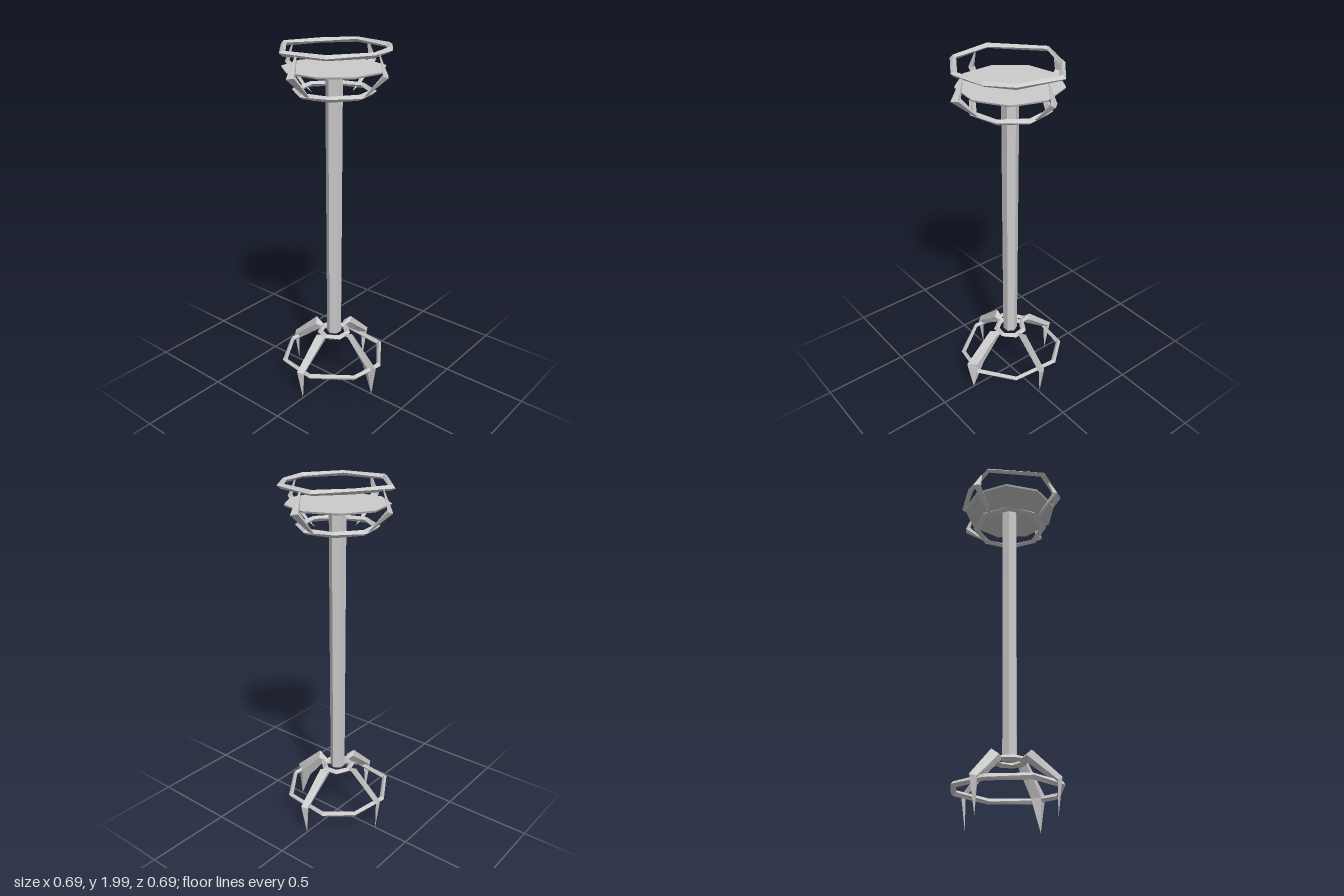
import * as THREE from 'three';

const material = new THREE.MeshStandardMaterial({ color: 0xcccccc, flatShading: true, side: THREE.DoubleSide });

// Skin a row of equal-sized cross-sections; a closed row joins its last section to its first
function loft(sections, closed) {
  const positions = [], index = [];
  const n = sections[0].length, rows = sections.length;
  sections.forEach(s => s.forEach(p => positions.push(...p)));
  for (let i = 0; i < (closed ? rows : rows - 1); i++) {
    const next = (i + 1) % rows;
    for (let j = 0; j < n; j++) {
      const k = (j + 1) % n;
      const a = i * n + j, b = i * n + k, c = next * n + k, d = next * n + j;
      index.push(a, b, c, a, c, d);
    }
  }
  const g = new THREE.BufferGeometry();
  g.setAttribute('position', new THREE.Float32BufferAttribute(positions, 3));
  g.setIndex(index);
  g.computeVertexNormals();
  return g;
}

// Faceted band with a diamond section that follows an uneven outline of [x, z] corners
function ring(outline, y, halfHeight, inner) {
  const mid = (1 + inner) / 2;
  return loft(outline.map(([x, z], i) => {
    const tilt = (i % 2 ? 1 : -1) * 0.003;
    return [
      [x, y + tilt, z],
      [x * mid, y + halfHeight, z * mid],
      [x * inner, y - tilt, z * inner],
      [x * mid, y - halfHeight, z * mid],
    ];
  }), true);
}

// Pointed blade in the x-y plane; each station is [outerX, outerY, innerX, innerY, halfWidth]
function blade(stations) {
  return loft(stations.map(([ox, oy, ix, iy, w]) => [
    [ox, oy, w * 0.5],
    [(ox + ix) / 2, (oy + iy) / 2, w],
    [ix, iy, -w * 0.5],
    [(ox + ix) / 2, (oy + iy) / 2, -w],
  ]), false);
}

// Regular outline used by the smaller rings
function polygon(sides, radius, turn) {
  return Array.from({ length: sides }, (_, i) => {
    const a = turn + i / sides * Math.PI * 2;
    return [radius * Math.cos(a), radius * Math.sin(a)];
  });
}

export function createModel() {
  const model = new THREE.Group();
  const add = (name, geometry, y = 0, turn = 0) => {
    const mesh = new THREE.Mesh(geometry, material);
    mesh.name = name;
    mesh.position.y = y;
    mesh.rotation.y = turn;
    model.add(mesh);
  };

  // Central pole
  add('pole', new THREE.CylinderGeometry(0.046, 0.042, 1.55, 6), 1.105, Math.PI / 2);

  // Flat tray on top of the pole
  add('tray', new THREE.CylinderGeometry(0.275, 0.27, 0.01, 9), 1.88, 0.2);

  // Rings of the head
  const rim = [[-0.06, -0.31], [0.15, -0.22], [0.308, -0.083], [0.262, 0.172],
    [0.135, 0.266], [-0.06, 0.305], [-0.265, 0.17], [-0.31, -0.085]];
  add('topRing', ring(rim, 1.982, 0.014, 0.89), 0);
  add('lowerHeadRing', ring(polygon(8, 0.22, 0.2), 1.765, 0.015, 0.83));

  // Rings of the base
  const brace = [[-0.06, -0.3], [0.17, -0.265], [0.287, -0.12], [0.26, 0.16],
    [0.06, 0.303], [-0.14, 0.27], [-0.295, 0.06], [-0.265, -0.175]];
  add('baseRing', ring(brace, 0.18, 0.017, 0.91));
  add('hubRing', ring(polygon(7, 0.1, 0.3), 0.328, 0.016, 0.65));

  // Four brackets and four legs around the pole
  for (let i = 0; i < 4; i++) {
    const turn = i * Math.PI / 2;
    add('bracket', blade([
      [0.285, 1.985, 0.28, 1.965, 0.003],
      [0.347, 1.875, 0.30, 1.885, 0.02],
      [0.22, 1.772, 0.20, 1.77, 0.012],
      [0.15, 1.735, 0.15, 1.735, 0],
    ]), 0, turn);
    // The front leg is deeper at the knee
    const front = i === 3;
    add('leg', blade([
      [0.07, 0.33, 0.07, 0.325, 0.006],
      [0.145, 0.365, 0.1, 0.31, 0.022],
      [0.32, 0.2, front ? 0.21 : 0.28, 0.175, 0.02],
      [0.285, 0.005, 0.285, 0.005, 0],
    ]), 0, turn);
  }

  return model;
}
